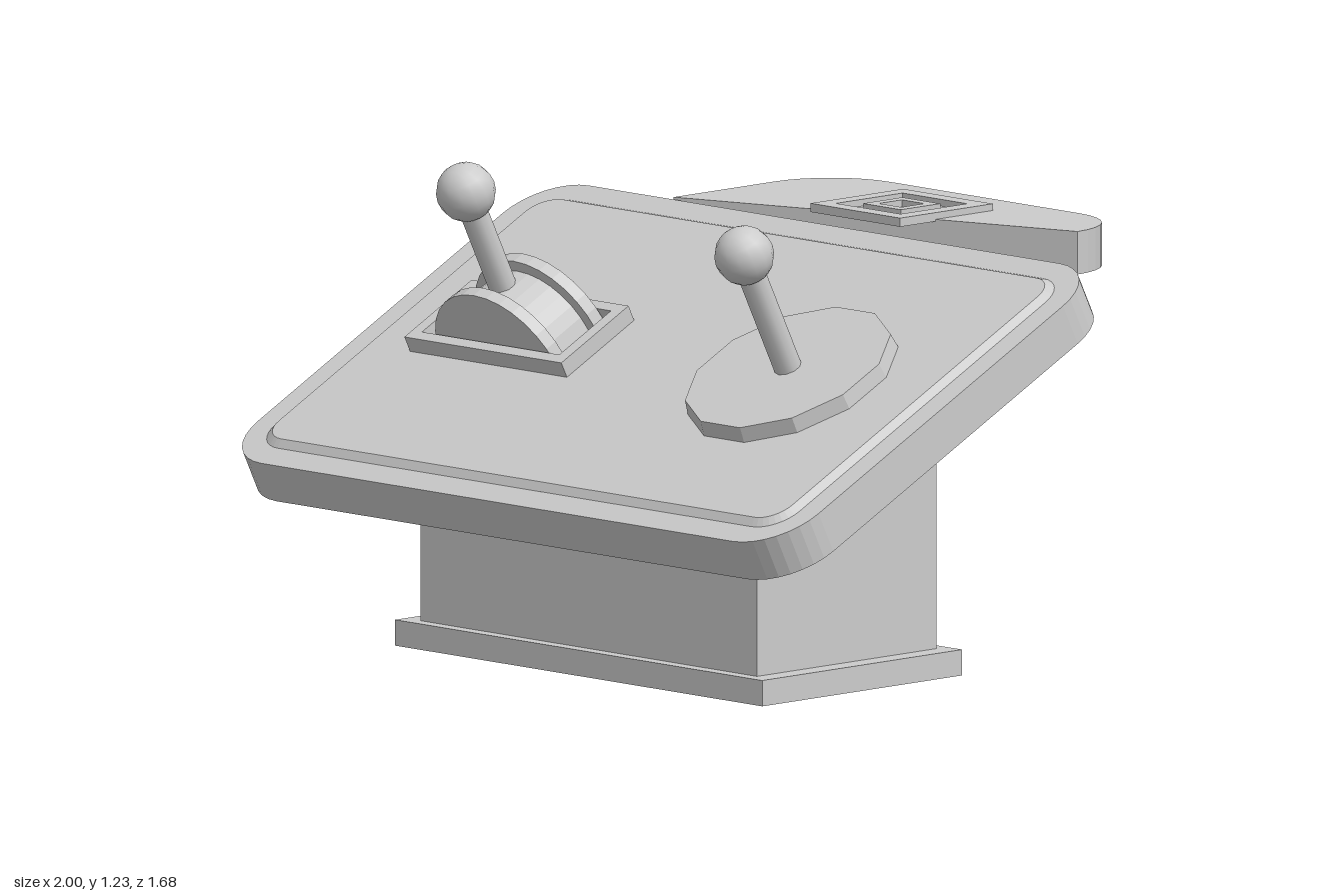
import * as THREE from 'three';

const material = new THREE.MeshStandardMaterial({ color: 0xcccccc, side: THREE.DoubleSide });

function add(parent, name, geometry, x = 0, y = 0, z = 0) {
  const mesh = new THREE.Mesh(geometry, material);
  mesh.name = name;
  mesh.position.set(x, y, z);
  parent.add(mesh);
  return mesh;
}

// Rectangle outline with separate radii for the far (+y) and near (-y) corners
function outline(hx, hy, rFar = 0, rNear = rFar, ShapeType = THREE.Shape) {
  const s = new ShapeType();
  const corner = (sx, sy, r, start) => {
    if (r) s.absarc(sx * (hx - r), sy * (hy - r), r, start, start + Math.PI / 2);
    else s.lineTo(sx * hx, sy * hy);
  };
  s.moveTo(hx, rNear ? 0 : -hy);
  corner(1, 1, rFar, 0);
  corner(-1, 1, rFar, Math.PI / 2);
  corner(-1, -1, rNear, Math.PI);
  if (rNear) corner(1, -1, rNear, Math.PI * 1.5);
  s.closePath();
  return s;
}

// Extrude an outline upward from y = 0, lying in the xz plane
function slab(shape, height, options = {}) {
  return new THREE.ExtrudeGeometry(shape, { depth: height, bevelEnabled: false, curveSegments: 4, ...options })
    .rotateX(-Math.PI / 2);
}

function frame(hx, hz, ix, iz, height) {
  const s = outline(hx, hz);
  s.holes.push(outline(ix, iz, 0, 0, THREE.Path));
  return slab(s, height);
}

// Half-round plate whose axis runs along z
function arch(radius, thickness) {
  const s = new THREE.Shape();
  s.absarc(0, 0, radius, 0, Math.PI);
  s.closePath();
  return new THREE.ExtrudeGeometry(s, { depth: thickness, bevelEnabled: false, curveSegments: 8 })
    .translate(0, 0, -thickness / 2);
}

// Stick with a ball on top
function lever(parent, name, x, ballHeight) {
  const g = new THREE.Group();
  g.name = name;
  g.position.x = x;
  parent.add(g);
  add(g, 'stick', new THREE.CylinderGeometry(0.035, 0.035, ballHeight, 10), 0, ballHeight / 2, 0);
  add(g, 'ball', new THREE.SphereGeometry(0.075, 14, 10), 0, ballHeight, 0);
}

export function createModel() {
  const model = new THREE.Group();
  model.name = 'controlConsole';

  // Hollow pedestal: plinth frame and column cut to the slope of the panel
  add(model, 'plinth', frame(0.655, 0.345, 0.585, 0.295, 0.065), 0, 0, 0.21);
  const column = frame(0.6, 0.31, 0.585, 0.295, 1);
  const p = column.attributes.position;
  for (let i = 0; i < p.count; i++) {
    if (p.getY(i) > 0.5) p.setY(i, 0.93 - 0.506 * (p.getZ(i) + 0.21 + 0.342) + 0.02);
    else p.setY(i, 0.03);
  }
  column.computeVertexNormals();
  add(model, 'column', column, 0, 0, 0.21);

  // Flat rear shelf with nested square fittings
  add(model, 'rearShelf', slab(outline(0.54, 0.275, 0.2, 0), 0.108), 0, 0.937, -0.57);
  add(model, 'squareOuterFrame', frame(0.16, 0.16, 0.115, 0.115, 0.022), 0, 1.04, -0.56);
  add(model, 'squareInnerFrame', frame(0.068, 0.068, 0.04, 0.04, 0.022), 0, 1.04, -0.56);

  // Sloping panel; its top surface is local y = 0
  const panel = new THREE.Group();
  panel.name = 'slopedPanel';
  panel.position.set(0, 0.754, 0.2725);
  panel.rotation.x = 0.468;
  model.add(panel);
  add(panel, 'panelBoard', slab(outline(1, 0.633, 0.16), 0.113), 0, -0.113, 0);
  add(panel, 'raisedTop', slab(outline(0.915, 0.545, 0.07), 0.01,
    { bevelEnabled: true, bevelThickness: 0.015, bevelSize: 0.02, bevelSegments: 1 }), 0, -0.01, 0);

  // Joystick on a twelve-sided disc
  const disc = new THREE.CylinderGeometry(0.27, 0.277, 0.045, 12).rotateY(Math.PI / 12).toNonIndexed();
  disc.computeVertexNormals();
  add(panel, 'joystickDisc', disc, 0.48, 0.0325, 0);
  lever(panel, 'joystick', 0.48, 0.389);

  // Throttle: frame, two arched cheeks, lower drum between them, lever
  const tx = -0.487;
  add(panel, 'throttleFrame', frame(0.28, 0.13, 0.245, 0.1, 0.045), tx, 0.013, 0);
  for (const side of [-1, 1]) add(panel, 'throttleCheek', arch(0.215, 0.035), tx, -0.017, side * 0.078);
  add(panel, 'throttleDrum', arch(0.185, 0.13), tx, -0.017, 0);
  lever(panel, 'throttleLever', tx, 0.445);

  return model;
}
